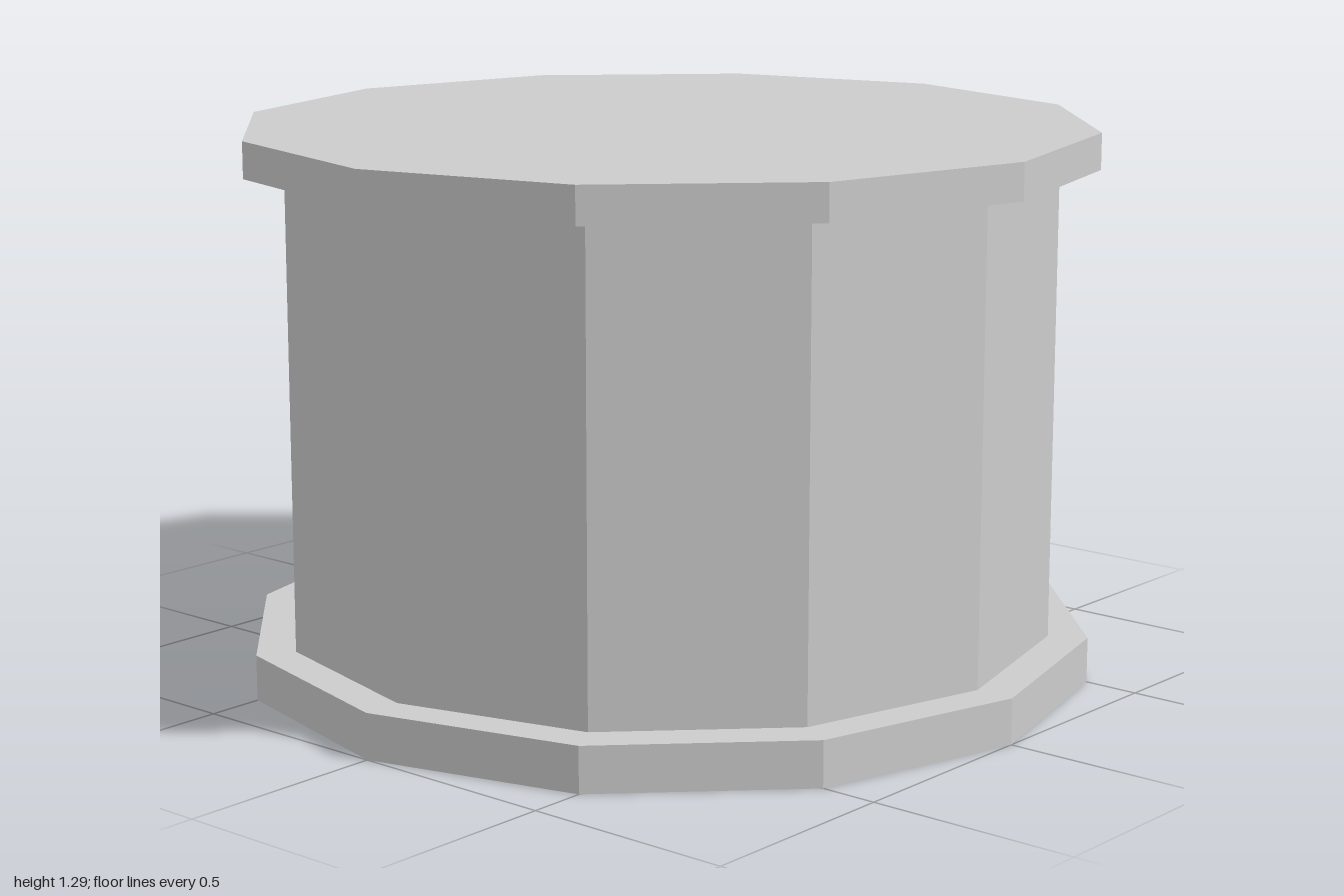
import * as THREE from 'three';

const SIDES = 12;
const material = new THREE.MeshStandardMaterial({ color: 0xcccccc, flatShading: true });

// Twelve-sided drum section between two heights
function section(name, radius, bottom, top, openEnded = false) {
  const geometry = new THREE.CylinderGeometry(radius, radius, top - bottom, SIDES, 1, openEnded);
  const mesh = new THREE.Mesh(geometry, material);
  mesh.name = name;
  mesh.position.y = (bottom + top) / 2;
  return mesh;
}

export function createModel() {
  const group = new THREE.Group();
  group.name = 'drum';
  group.add(
    section('bottomFlange', 1, 0, 0.107),
    section('body', 0.907, 0.107, 1.21, true), // ends are covered by the flanges
    section('topFlange', 1, 1.21, 1.295),
  );
  return group;
}
